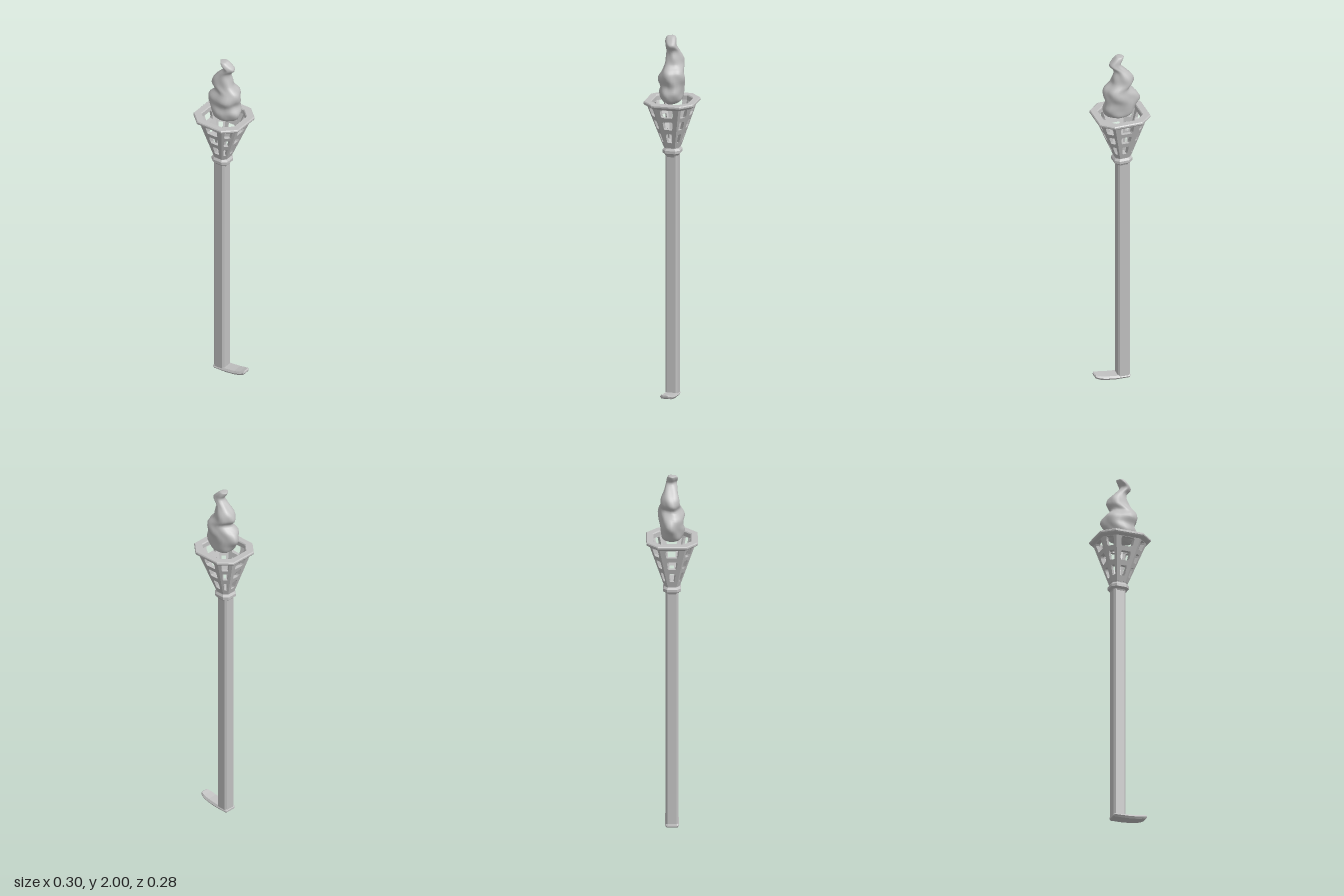
import * as THREE from 'three';
import { mergeVertices } from 'three/addons/utils/BufferGeometryUtils.js';

const grey = new THREE.MeshStandardMaterial({ color: 0xc0c0c0 });
grey.name = 'stoneGrey';
const lerp = THREE.MathUtils.lerp;

// Octagon corners of the basket rim at full size, in order of rising angle (x towards z)
const OCT = [[0.146, 0.078], [0.079, 0.138], [-0.079, 0.138], [-0.146, 0.078],
  [-0.146, -0.078], [-0.079, -0.138], [0.079, -0.138], [0.146, -0.078]];
const octRing = (y, s, cx = 0) => OCT.map(([x, z]) => [cx + x * s, y, z * s]);

// Skin over a list of equal rings
function loft(rings, smooth, caps = true) {
  const pos = rings.flat(2), idx = [], n = rings[0].length;
  for (let r = 0; r < rings.length - 1; r++) {
    for (let i = 0; i < n; i++) {
      const a = r * n + i, b = r * n + (i + 1) % n;
      idx.push(a, a + n, b + n, a, b + n, b);
    }
  }
  if (caps) {
    const last = (rings.length - 1) * n;
    for (let i = 1; i < n - 1; i++) idx.push(0, i, i + 1, last, last + i + 1, last + i);
  }
  let geo = new THREE.BufferGeometry();
  geo.setAttribute('position', new THREE.Float32BufferAttribute(pos, 3));
  geo.setIndex(idx);
  geo = smooth ? mergeVertices(geo) : geo.toNonIndexed();
  geo.computeVertexNormals();
  return geo;
}

// One basket side: a sheet with three holes, bent onto the tapered octagon
function basketPanel(i) {
  const y0 = 1.385, y1 = 1.63;
  const sheet = new THREE.Shape([[0, 0], [1, 0], [1, 1], [0, 1]].map(p => new THREE.Vector2(...p)));
  for (const [lo, hi, m] of [[1.415, 1.468, 0.27], [1.495, 1.543, 0.23], [1.568, 1.616, 0.22]]) {
    const b = (lo - y0) / (y1 - y0), t = (hi - y0) / (y1 - y0), c = 0.04;
    sheet.holes.push(new THREE.Path([[m + c, b], [m, b + c], [m, t - c], [m + c, t], [1 - m - c, t],
      [1 - m, t - c], [1 - m, b + c], [1 - m - c, b]].map(p => new THREE.Vector2(...p))));
  }
  const geo = new THREE.ExtrudeGeometry(sheet, { depth: 1, bevelEnabled: false });
  const p = geo.attributes.position, A = OCT[(i + 1) % 8], B = OCT[i];
  for (let k = 0; k < p.count; k++) {
    const u = p.getX(k), v = p.getY(k);
    const s = lerp(0.31, 0.89, v) - (1 - p.getZ(k)) * 0.14;
    p.setXYZ(k, lerp(-0.012, -0.002, v) + lerp(A[0], B[0], u) * s, lerp(y0, y1, v), lerp(A[1], B[1], u) * s);
  }
  geo.computeVertexNormals();
  return geo;
}

// Flame: wandering elliptical sections with twisting lumps
function flameGeometry() {
  // y, left x, right x, back z, front z
  const rows = [[1.63, -0.03, 0.05, -0.03, 0.03], [1.65, -0.065, 0.08, -0.058, 0.055],
    [1.69, -0.088, 0.1, -0.066, 0.066], [1.73, -0.106, 0.09, -0.07, 0.062], [1.77, -0.094, 0.1, -0.075, 0.07],
    [1.81, -0.056, 0.092, -0.07, 0.052], [1.845, -0.08, 0.056, -0.062, 0.045], [1.88, -0.072, 0.044, -0.058, 0.04],
    [1.92, -0.034, 0.036, -0.044, 0.03], [1.955, -0.004, 0.062, -0.034, 0.026],
    [1.98, -0.016, 0.042, -0.03, 0.032], [1.997, -0.022, 0.022, -0.022, 0.026], [2.0, -0.01, 0.01, -0.01, 0.012]];
  const xs = new THREE.CatmullRomCurve3(rows.map(r => new THREE.Vector3(r[1], r[0], r[2])));
  const zs = new THREE.CatmullRomCurve3(rows.map(r => new THREE.Vector3(r[3], r[0], r[4])));
  const rings = [], steps = 48, n = 24;
  for (let k = 0; k <= steps; k++) {
    const a = xs.getPoint(k / steps), b = zs.getPoint(k / steps), ring = [];
    for (let i = 0; i < n; i++) {
      const t = i / n * Math.PI * 2;
      const lump = 0.96 + 0.06 * Math.sin(3 * t + a.y * 24) + 0.04 * Math.sin(5 * t - a.y * 45);
      ring.push([(a.x + a.z) / 2 + Math.cos(t) * lump * (a.z - a.x) / 2, Math.min(a.y, 2),
        (b.x + b.z) / 2 + Math.sin(t) * lump * (b.z - b.x) / 2]);
    }
    rings.push(ring);
  }
  return loft(rings, true);
}

export function createModel() {
  const model = new THREE.Group();
  model.name = 'torch';
  const add = (name, geo, parent = model) => {
    const mesh = new THREE.Mesh(geo, grey);
    mesh.name = name;
    parent.add(mesh);
    return mesh;
  };

  // Square pole with chamfered edges
  const h = 0.034, c = 0.024;
  const section = [[h, c], [c, h], [-c, h], [-h, c], [-h, -c], [-c, -h], [c, -h], [h, -c]];
  add('pole', loft([0.008, 1.35].map(y => section.map(([x, z]) => [x - 0.015, y, z])), false));

  // Foot step curling up to the left: x, bottom, top, half width
  const foot = [[-0.052, 0.004, 0.014, 0.03], [-0.045, 0, 0.02, 0.038], [0.03, 0.002, 0.024, 0.038],
    [0.085, 0.008, 0.03, 0.036], [0.12, 0.016, 0.038, 0.034], [0.142, 0.024, 0.045, 0.026], [0.148, 0.032, 0.042, 0.016]];
  add('footStep', loft(foot.map(([x, b, t, w]) => [[x, b, -w * 0.8], [x, (b + t) / 2, -w], [x, t, -w * 0.8],
    [x, t, w * 0.8], [x, (b + t) / 2, w], [x, b, w * 0.8]].reverse()), false));

  // Collar between pole and basket
  add('collar', loft([[1.33, 0.23], [1.343, 0.27], [1.353, 0.35], [1.368, 0.35], [1.38, 0.29], [1.392, 0.31]]
    .map(([y, s]) => octRing(y, s, -0.012)), false));

  // Open basket
  const basket = new THREE.Group();
  basket.name = 'basket';
  model.add(basket);
  for (let i = 0; i < 8; i++) add('basketPanel', basketPanel(i), basket);
  add('basketRim', loft([[1.618, 0.86], [1.628, 0.97], [1.634, 1], [1.642, 1], [1.647, 0.97], [1.647, 0.75],
    [1.642, 0.72], [1.618, 0.72], [1.618, 0.86]].map(([y, s]) => octRing(y, s, -0.002)), false, false), basket);

  add('flame', flameGeometry());
  return model;
}
